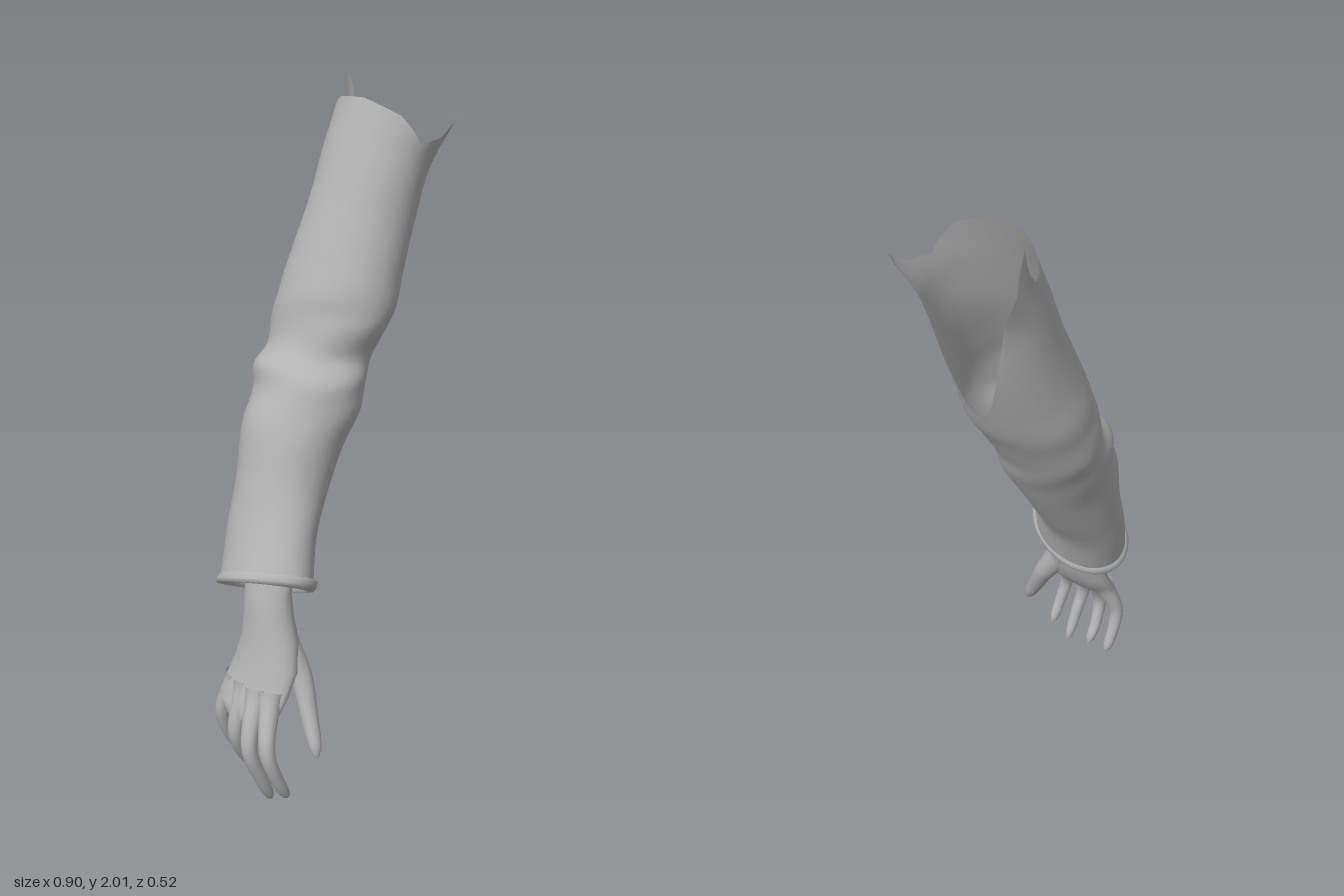
import * as THREE from 'three';

const V = (x, y, z) => new THREE.Vector3(x, y, z);

// Closed rings of points joined into a smooth skin
function loft(rows) {
  const n = rows[0].length, index = [];
  for (let i = 0; i < rows.length - 1; i++) {
    for (let j = 0; j < n; j++) {
      const k = (j + 1) % n, a = i * n + j, b = a + n, c = i * n + k, d = c + n;
      index.push(a, b, c, c, b, d);
    }
  }
  const g = new THREE.BufferGeometry().setFromPoints(rows.flat());
  g.setIndex(index);
  g.computeVertexNormals();
  return g;
}

// Tapered round limb with a rounded tip
function limb(points, r0, r1) {
  const curve = new THREE.CatmullRomCurve3(points.map(p => V(...p)));
  const steps = 20, sides = 12, frames = curve.computeFrenetFrames(steps);
  const rows = [];
  for (let i = 0; i <= steps; i++) {
    const t = i / steps, p = curve.getPointAt(t);
    const tip = t > 0.85 ? Math.sqrt(Math.max(0, 1 - ((t - 0.85) / 0.15) ** 2)) : 1;
    const r = (r0 + (r1 - r0) * Math.sqrt(t)) * tip + 0.0005;
    rows.push(Array.from({ length: sides }, (_, j) => {
      const a = j / sides * Math.PI * 2;
      return p.clone().addScaledVector(frames.normals[i], Math.cos(a) * r)
        .addScaledVector(frames.binormals[i], -Math.sin(a) * r);
    }));
  }
  return loft(rows);
}

// Sleeve sections: outer x,y / inner x,y / back z, front z
const sections = [
  [-0.36, 0.695, -0.145, 0.58, -0.15, 0.16],
  [-0.29, 0.83, -0.09, 0.72, -0.18, 0.12],
  [-0.24, 0.95, -0.01, 0.84, -0.195, 0.095],
  [-0.20, 1.08, 0.08, 0.98, -0.215, 0.09],
  [-0.14, 1.17, 0.14, 1.08, -0.235, 0.105],
  [-0.115, 1.23, 0.18, 1.15, -0.25, 0.095],
  [-0.05, 1.28, 0.21, 1.21, -0.255, 0.075],
  [-0.02, 1.37, 0.255, 1.29, -0.26, 0.10],
  [0.00, 1.44, 0.30, 1.36, -0.26, 0.11],
  [0.04, 1.53, 0.34, 1.45, -0.25, 0.10],
  [0.12, 1.69, 0.40, 1.60, -0.24, 0.09],
  [0.18, 1.82, 0.45, 1.76, -0.24, 0.10],
  [0.24, 1.96, 0.53, 1.88, -0.245, 0.135],
  [0.27, 2.04, 0.52, 2.00, -0.255, 0.135],
];
const track = f => new THREE.CatmullRomCurve3(sections.map(f));
const outer = track(s => V(s[0], s[1], 0));
const inner = track(s => V(s[2], s[3], 0));
const depth = track(s => V(s[4], s[5], 0));

function sleevePoint(t, a) {
  const u = Math.min(t / (sections.length - 1), 1);
  const l = outer.getPoint(u), r = inner.getPoint(u), d = depth.getPoint(u);
  const c = Math.cos(a), s = Math.sin(a);
  // diagonal cloth folds around the elbow
  const fold = Math.exp(-(((t - 5.5) / 2.5) ** 2)) * (0.6 - 0.4 * c);
  const w = 1 + 0.03 * fold * Math.sin(t * 3 + a * 3);
  const p = l.clone().lerp(r, 0.5 + 0.5 * c * w);
  p.z = (d.x + d.y) / 2 + (d.y - d.x) / 2 * s * w;
  p.y += 0.045 * s * Math.max(0, 1 - t / 3);
  return p;
}

// Torn upper edge: angle in degrees, section reached
const torn = [
  [0, 8.8], [18, 8.9], [35, 10], [50, 11], [60, 11.4], [65, 12], [80, 11.5],
  [105, 11.3], [140, 11.75], [180, 12], [215, 12], [250, 11.7], [262, 11.75],
  [275, 12.9], [285, 11.8], [310, 11.2], [335, 9.9], [360, 8.8],
];
function tornHeight(deg) {
  const i = torn.findIndex(p => p[0] > deg);
  const [a, b] = [torn[i - 1], torn[i]];
  return a[1] + (b[1] - a[1]) * (deg - a[0]) / (b[0] - a[0]);
}

export function createModel() {
  const group = new THREE.Group();
  const grey = new THREE.MeshStandardMaterial({ color: 0xb2b2b2, side: THREE.DoubleSide });
  grey.name = 'plain grey';
  const add = (name, geometry) => {
    const mesh = new THREE.Mesh(geometry, grey);
    mesh.name = name;
    group.add(mesh);
  };

  // Sleeve, open at both ends
  const sides = 72, rows = 60, sleeve = [];
  for (let i = 0; i <= rows; i++) {
    sleeve.push(Array.from({ length: sides }, (_, j) => {
      const deg = j * 360 / sides;
      return sleevePoint(tornHeight(deg) * i / rows, deg * Math.PI / 180);
    }));
  }
  add('sleeve', loft(sleeve));

  // Flat hem: rings turning from the inside edge, under and out to the sleeve
  const hem = [[0.9, 0.005], [0.93, -0.012], [1.04, -0.012], [1.07, 0.0], [1.05, 0.018], [0.98, 0.024]];
  const mid = sleevePoint(0, 0).lerp(sleevePoint(0, Math.PI), 0.5);
  const axis = V(0.45, 0.85, 0.1).normalize();
  add('cuffHem', loft(hem.map(([k, h]) => Array.from({ length: 48 }, (_, j) =>
    sleevePoint(0, j / 48 * Math.PI * 2).sub(mid).multiplyScalar(k).add(mid).addScaledVector(axis, h)))));

  // Wrist and palm: y, centre x, centre z, radius x, radius z
  const palm = [
    [0.262, -0.395, 0.045, 0.002, 0.01],
    [0.27, -0.392, 0.045, 0.018, 0.08],
    [0.30, -0.372, 0.042, 0.032, 0.113],
    [0.35, -0.338, 0.043, 0.047, 0.118],
    [0.42, -0.302, 0.05, 0.06, 0.112],
    [0.50, -0.283, 0.048, 0.063, 0.095],
    [0.57, -0.278, 0.038, 0.057, 0.084],
    [0.64, -0.275, 0.035, 0.052, 0.078],
    [0.76, -0.235, 0.03, 0.05, 0.07],
  ];
  add('palmAndWrist', loft(palm.map(([y, cx, cz, rx, rz]) =>
    Array.from({ length: 24 }, (_, j) => {
      const a = j / 24 * Math.PI * 2;
      return V(cx + rx * Math.cos(a), y, cz + rz * Math.sin(a));
    }))));

  // Curled fingers and thumb
  const fingers = {
    indexFinger: [[-0.355, 0.36, 0.115], [-0.425, 0.22, 0.165], [-0.40, 0.12, 0.18], [-0.36, 0.042, 0.185]],
    middleFinger: [[-0.36, 0.36, 0.07], [-0.432, 0.21, 0.10], [-0.40, 0.10, 0.112], [-0.355, 0.003, 0.115]],
    ringFinger: [[-0.35, 0.36, 0.01], [-0.40, 0.22, 0.015], [-0.37, 0.13, 0.01], [-0.325, 0.066, 0.01]],
    littleFinger: [[-0.335, 0.36, -0.035], [-0.365, 0.24, -0.072], [-0.345, 0.16, -0.075], [-0.31, 0.083, -0.07]],
  };
  for (const [name, path] of Object.entries(fingers)) add(name, limb(path, 0.038, 0.016));
  add('thumb', limb([[-0.275, 0.5, 0.075], [-0.262, 0.39, 0.145], [-0.28, 0.29, 0.195], [-0.308, 0.18, 0.253]], 0.06, 0.018));

  return group;
}
